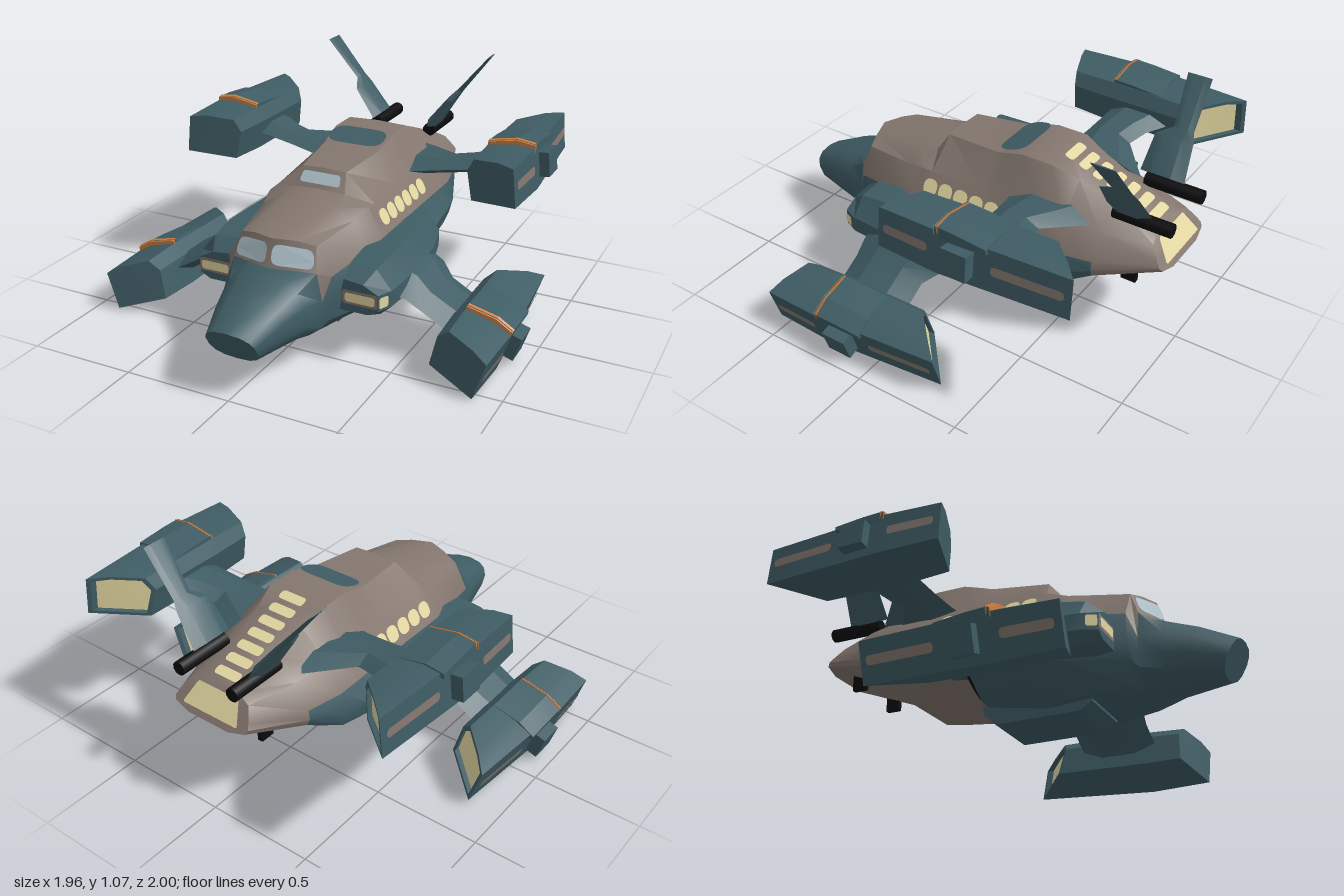
import * as THREE from 'three';
import { toCreasedNormals } from 'three/addons/utils/BufferGeometryUtils.js';

const paint = (name, color) => {
  const m = new THREE.MeshStandardMaterial({ color });
  m.name = name;
  return m;
};
const TEAL = paint('teal hull', 0x3f5c64);
const BROWN = paint('warm grey hull', 0x84776f);
const GLOW = paint('pale yellow light', 0xe2d6a0);
const GLASS = paint('blue glass', 0xafc2cb);
const ORANGE = paint('orange trim', 0xd07f40);
const BLACK = paint('black', 0x0c0c0e);

const V = (x, y, z) => new THREE.Vector3(x, y, z);

// Skin a list of equal-length rings; pick(i, j) gives the colour of each face, caps included
function loft(rings, pick, crease = 0.3) {
  const buckets = new Map();
  const tri = (mat, ...pts) => {
    if (!buckets.has(mat)) buckets.set(mat, []);
    pts.forEach(p => buckets.get(mat).push(p.x, p.y, p.z));
  };
  const n = rings[0].length, last = rings.length - 1;
  const centre = r => r.reduce((s, p) => s.add(p), V(0, 0, 0)).divideScalar(n);
  const c0 = centre(rings[0]), c1 = centre(rings[last]);
  for (let j = 0; j < n; j++) {
    const k = (j + 1) % n;
    tri(pick(-1, j), c0, rings[0][k], rings[0][j]);
    tri(pick(last, j), c1, rings[last][j], rings[last][k]);
    for (let i = 0; i < last; i++) {
      const a = rings[i][j], b = rings[i][k], c = rings[i + 1][k], d = rings[i + 1][j];
      tri(pick(i, j), a, b, c);
      tri(pick(i, j), a, c, d);
    }
  }
  const geo = new THREE.BufferGeometry(), all = [], mats = [...buckets.keys()];
  mats.forEach((m, g) => {
    geo.addGroup(all.length / 3, buckets.get(m).length / 3, g);
    all.push(...buckets.get(m));
  });
  geo.setAttribute('position', new THREE.Float32BufferAttribute(all, 3));
  const out = toCreasedNormals(geo, crease);
  out.userData = { mats };
  return out;
}

// Simple solid in one colour
function solid(source, mat) {
  const geo = source.toNonIndexed();
  geo.deleteAttribute('uv');
  geo.clearGroups();
  geo.userData = { mats: [mat] };
  return geo;
}
const box = (mat, w, h, d, x, y, z, tilt = 0) =>
  solid(new THREE.BoxGeometry(w, h, d).rotateZ(tilt).translate(x, y, z), mat);

// Thin rounded panel laid on the quad a-b-c-d (anticlockwise from outside)
function patch(mat, [a, b, c, d], u0, u1, v0, v1, r = 0.5, lift = 0.006) {
  const w = a.distanceTo(b) * (u1 - u0), h = a.distanceTo(d) * (v1 - v0);
  const q = Math.min(w, h) * r * 0.999;
  const s = new THREE.Shape();
  s.moveTo(q, 0).lineTo(w - q, 0).quadraticCurveTo(w, 0, w, q).lineTo(w, h - q).quadraticCurveTo(w, h, w - q, h);
  s.lineTo(q, h).quadraticCurveTo(0, h, 0, h - q).lineTo(0, q).quadraticCurveTo(0, 0, q, 0);
  const geo = new THREE.ShapeGeometry(s, 6), pos = geo.attributes.position;
  const normal = b.clone().sub(a).cross(d.clone().sub(a)).normalize();
  for (let i = 0; i < pos.count; i++) {
    const u = u0 + (u1 - u0) * pos.getX(i) / w, v = v0 + (v1 - v0) * pos.getY(i) / h;
    const p = a.clone().lerp(b, u).lerp(d.clone().lerp(c, u), v).addScaledVector(normal, lift);
    pos.setXYZ(i, p.x, p.y, p.z);
  }
  const out = solid(geo, mat);
  out.computeVertexNormals();
  return out;
}
// Symmetric quad across the centre line, from a low edge to a high edge
const across = (w0, y0, z0, w1, y1, z1) => [V(-w0, y0, z0), V(w0, y0, z0), V(w1, y1, z1), V(-w1, y1, z1)];

function mirrored(source) {
  const geo = source.clone().scale(-1, 1, 1);
  for (const at of Object.values(geo.attributes))
    for (let i = 0; i < at.count; i += 3) {
      const p = [at.getX(i + 1), at.getY(i + 1), at.getZ(i + 1)];
      at.setXYZ(i + 1, at.getX(i + 2), at.getY(i + 2), at.getZ(i + 2));
      at.setXYZ(i + 2, ...p);
    }
  return geo;
}

// Six-sided wing section at (x, y), thickness t along the normal (nx, ny)
function wingRing(x, y, z0, z1, t, nx = 0, ny = 1) {
  return [[0.72, 1], [1, 0], [0.72, -1], [0.28, -1], [0, 0], [0.28, 1]]
    .map(([f, s]) => V(x + nx * s * t / 2, y + ny * s * t / 2, z0 + (z1 - z0) * f));
}

// Half sections of the hull, roof centre to belly centre
function noseHalf(z, top, width, belly, lean) {
  return Array.from({ length: 8 }, (_, j) => {
    const c = Math.cos(Math.PI * j / 7), s = j % 7 ? Math.sin(Math.PI * j / 7) : 0;
    const y = (top + belly) / 2 + (top - belly) / 2 * Math.sign(c) * Math.abs(c) ** 0.8;
    return V(width * s ** 0.8, y, z + lean * (y - top));
  });
}
function bodyHalf([z, top, roof, shoulder, shoulderY, beam, belly], sweep, lean) {
  const drop = Math.min(0.125, (shoulderY - belly) / 2), seam = shoulderY - drop;
  return [
    [0, top], [roof, top - 0.006], [shoulder, shoulderY], [Math.min(beam, shoulder + drop * 0.56), seam],
    [beam, belly + (seam - belly) * 0.62], [beam * 0.95, belly + (seam - belly) * 0.32], [beam * 0.55, belly], [0, belly],
  ].map(([x, y]) => V(x, y, z + sweep * Math.max(0, y > seam ? 1 - x / shoulder : 0) + lean * (y - top)));
}

export function createModel() {
  const root = new THREE.Group();
  root.name = 'dropship';
  const add = (name, geo) => {
    const { mats } = geo.userData;
    const mesh = new THREE.Mesh(geo, mats.length > 1 ? mats : mats[0]);
    mesh.name = name;
    root.add(mesh);
  };
  const pair = (name, geo) => {
    add(name + 'Left', geo);
    add(name + 'Right', mirrored(geo));
  };

  // Hull: z, roof height, roof half width, shoulder x and y, beam, belly height
  const body = [
    [.6, .455, .11, .2, .445, .225, .125],
    [.56, .575, .1, .18, .55, .25, .12],
    [.3, .628, .13, .225, .575, .36, .11],
    [.2, .648, .13, .25, .6, .4, .1],
    [.145, .73, .11, .25, .6, .4, .1],
    [-.13, .75, .14, .25, .6, .4, .15],
    [-.17, .762, .145, .25, .6, .4, .21],
    [-.27, .79, .15, .25, .6, .39, .22],
    [-.42, .79, .15, .26, .61, .38, .235],
    [-.54, .745, .12, .26, .61, .36, .25],
    [-.71, .68, .1, .23, .6, .3, .37],
    [-.9, .61, .09, .16, .58, .2, .47],
  ];
  const halves = [
    noseHalf(1, .31, .12, .155, .55), noseHalf(.83, .39, .165, .145, .1), noseHalf(.7, .435, .2, .135, 0),
    ...body.map((row, i) => bodyHalf(row, i < 2 ? .06 : 0, i === body.length - 1 ? .71 : 0)),
  ];
  const hull = halves.map(h => [...h, ...h.slice(1, -1).reverse().map(p => V(-p.x, p.y, p.z))]);
  add('hull', loft(hull, (i, j) => {
    const strip = j < 7 ? j : 13 - j;
    if (i < 3) return TEAL;
    if (i === 8 && strip > 4) return BLACK;
    if (i < 8) return strip > 2 ? TEAL : BROWN;
    return strip > 2 && strip < 5 && i < 13 ? TEAL : BROWN;
  }, 0.65));

  // Belly keel
  add('keel', loft([[.36, .1], [.3, .065], [-.1, .065], [-.16, .12]].map(([z, y]) =>
    [V(.15, .16, z), V(.15, y, z), V(-.15, y, z), V(-.15, .16, z)]), () => TEAL));

  // Cockpit glass, roof window and roof hatch
  pair('windshield', patch(GLASS, [V(0, .455, .66), V(.2, .445, .6), V(.18, .55, .56), V(0, .575, .62)], .05, .95, .12, .84, .4, .009));
  add('roofWindow', patch(GLASS, across(.13, .648, .2, .11, .73, .145), .1, .9, .2, .75, .3));
  add('roofHatch', patch(TEAL, across(.14, .752, -.13, .14, .79, -.27), 0, 1, 0, .95, .5, .008));

  // Cabin portholes, spine lights and tail light
  const side = [V(.32, .475, .2), V(.32, .475, -.42), V(.25, .6, -.42), V(.25, .6, .2)];
  for (let i = 0; i < 6; i++) {
    const u = (.072 + i * .082) / .62;
    pair('porthole' + (i + 1), patch(GLOW, side, u - .058, u + .058, .25, .78, .5, .009));
  }
  const spine = across(.09, .79, -.42, .09, .61, -.9);
  for (let i = 0; i < 7; i++)
    add('spineLight' + (i + 1), patch(GLOW, spine, .14, .86, .01 + i * .143, .1 + i * .143, .4, .008));
  add('tailLight', patch(GLOW, across(-.15, .495, -.982, -.11, .585, -.918), 0, 1, 0, 1, .1));

  // Side sponsons with front lamps: z, reach, top, bottom
  const sponson = [[.51, .44, .4, .255], [.44, .47, .45, .235], [.3, .48, .47, .225], [-.05, .46, .48, .225], [-.24, .41, .475, .25]]
    .map(([z, reach, top, low]) => [
      V(.28, top, z), V(reach - .07, top - .01, z), V(reach, .355, z), V(reach, .28, z), V(reach - .05, low, z), V(.25, low, z),
    ]);
  pair('sponson', loft(sponson, () => TEAL, 0.4));
  const lamp = [V(.275, .29, .51), V(.44, .29, .51), V(.44, .355, .51), V(.275, .355, .51)];
  pair('lampFrame', patch(BROWN, lamp, 0, 1, 0, 1, .2, .003));
  pair('lamp', patch(GLOW, lamp, .08, .92, .18, .82, .3));
  pair('lampSide', patch(GLOW, [V(.44, .295, .51), V(.47, .295, .44), V(.47, .345, .44), V(.44, .345, .51)], .05, .7, 0, 1, .2));

  // Wings
  pair('upperWing', loft([
    wingRing(.2, .61, -.68, -.25, .1), wingRing(.27, .62, -.62, -.27, .085),
    wingRing(.4, .64, -.51, -.29, .065), wingRing(.5, .655, -.54, -.3, .065), wingRing(.62, .67, -.62, -.31, .09),
  ], () => TEAL));
  pair('lowerWing', loft([
    wingRing(.4, .31, -.13, .38, .15), wingRing(.5, .285, -.08, .36, .12),
    wingRing(.57, .24, -.02, .35, .09), wingRing(.72, .155, -.02, .35, .1),
  ], () => TEAL));

  // Engine nacelle, built in the upper position with swept ends
  const mid = [[.745, .82], [.83, .812], [.85, .62], [.605, .59], [.575, .735], [.61, .8]].map(([x, y]) => V(x, y, -.31));
  const front = mid.map(({ x, y }) => V(.72 + (x - .72) * .93, .71 + (y - .71) * .93, -.02 - Math.max(0, .82 - x) * .34));
  const rear = mid.map(({ x, y }) => {
    const rx = .575 + (x - .575) * .84;
    return V(rx, .71 + (y - .71) * .93, Math.max(-.9, -.9 + (.79 - rx) * .95));
  });
  const core = V(.69, .71, -.805);
  const rim = rear.map(p => p.clone().lerp(core, .14));
  const nozzle = rim.map(p => p.clone().add(V(0, 0, .03)));
  const collar = (z, h) => [V(.61, .795 + h, z), V(.745, .82 + h, z), V(.83, .808 + h, z), V(.832, .79, z), V(.612, .78, z)];
  const outerFront = [front[2], mid[2], mid[1], front[1]], outerRear = [mid[2], rear[2], rear[1], mid[1]];
  const nacelle = {
    Body: loft([front, mid, rear, rim, nozzle], i => (i === 4 ? GLOW : TEAL)),
    Collar: loft([collar(-.3, .022), collar(-.4, .018), collar(-.54, .004)], i => (i === -1 ? ORANGE : TEAL)),
    CollarTrim: loft([collar(-.295, .018), collar(-.315, .026)], () => ORANGE),
    SideBox: box(TEAL, .06, .115, .12, .853, .72, -.42, .1),
    FrontStripe: patch(BROWN, outerFront, .1, .86, .42, .64, .45),
    RearStripe: patch(BROWN, outerRear, .42, .95, .42, .64, .45),
  };
  const lowered = new THREE.Matrix4().makeTranslation(.89, 0, .575)
    .multiply(new THREE.Matrix4().makeRotationZ(-24 * Math.PI / 180))
    .multiply(new THREE.Matrix4().makeTranslation(-.85, -.62, 0));
  for (const [part, geo] of Object.entries(nacelle)) {
    pair('upperNacelle' + part, geo);
    pair('lowerNacelle' + part, geo.clone().applyMatrix4(lowered));
  }

  // Tail fins on their pivots, with struts below
  const fin = (x, y, z0, z1, t) => wingRing(x, y, z0, z1, t, -.78, .63);
  pair('tailFin', loft([
    fin(.15, .7, -.9, -.69, .05), fin(.25, .84, -.88, -.7, .03), fin(.28, .88, -.865, -.77, .02), fin(.432, 1.07, -.86, -.745, .005),
  ], () => TEAL));
  pair('finPivot', solid(new THREE.CylinderGeometry(.032, .032, .27, 10).rotateX(Math.PI / 2).translate(.145, .67, -.86), BLACK));
  pair('tailStrut', box(BLACK, .025, .11, .07, .15, .405, -.82));

  return root;
}
